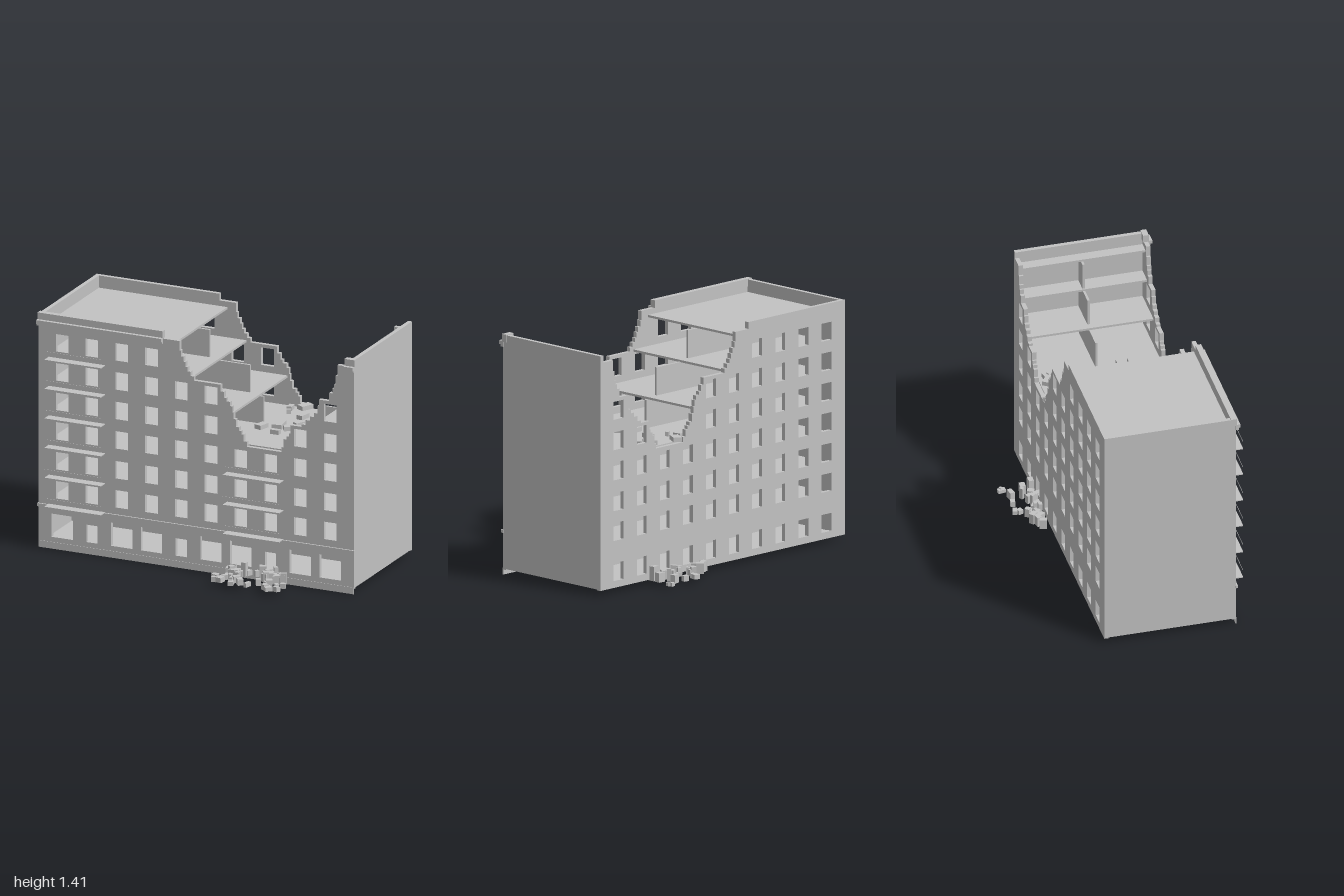
import * as THREE from 'three';

const concrete = new THREE.MeshStandardMaterial({ color: 0xc2c2c2 });
concrete.name = 'concrete grey';

const HALF = 0.995, FRONT = 0.378, BACK = -0.4, WALL = 0.025;
const LEVELS = [0.265, 0.44, 0.62, 0.797, 0.975, 1.15];

// Broken top edge as stair steps: move to x, then step to y
const BREAK = [[-0.105, 1.31], [-0.097, 1.275], [-0.08, 1.245], [-0.068, 1.215], [-0.055, 1.19],
  [-0.035, 1.165], [-0.015, 1.14], [0.155, 1.1], [0.175, 1.065], [0.19, 1.045], [0.215, 1.02], [0.228, 0.985],
  [0.235, 0.945], [0.25, 0.9], [0.27, 0.88], [0.285, 0.86], [0.3, 0.82], [0.32, 0.79], [0.54, 0.82], [0.552, 0.87],
  [0.57, 0.89], [0.585, 0.91], [0.595, 0.96], [0.665, 0.975], [0.69, 1.005], [0.72, 1.03], [0.745, 1.055],
  [0.765, 1.1], [0.775, 1.14], [0.84, 1.19], [0.86, 1.22], [0.87, 1.245], [0.88, 1.3], [0.892, 1.365]];

function topAt(x) {
  let y = 1.365;
  for (const [bx, by] of BREAK) if (x >= bx) y = by;
  return y;
}

function add(parent, name, geometry) {
  const m = new THREE.Mesh(geometry, concrete);
  m.name = name;
  parent.add(m);
  return m;
}

// Box given by its limits on each axis
function block(parent, name, x0, x1, y0, y1, z0, z1) {
  const m = add(parent, name, new THREE.BoxGeometry(x1 - x0, y1 - y0, z1 - z0));
  m.position.set((x0 + x1) / 2, (y0 + y1) / 2, (z0 + z1) / 2);
  return m;
}

// Long wall with window openings and a collapsed top
function facade(isFront) {
  const s = new THREE.Shape();
  s.moveTo(-HALF, 0.03);
  s.lineTo(HALF, 0.03);
  s.lineTo(HALF, 1.365);
  for (let i = BREAK.length - 1; i >= 0; i--) {
    s.lineTo(BREAK[i][0], BREAK[i][1]);
    s.lineTo(BREAK[i][0], i ? BREAK[i - 1][1] : 1.365);
  }
  s.lineTo(-HALF, 1.365);
  s.closePath();
  const opening = (cx, w, y0, y1) => {
    for (let t = -0.5; t <= 0.5; t += 0.125) if (topAt(cx + t * w) < y1 + 0.004) return;
    const p = new THREE.Path();
    p.moveTo(cx - w / 2, y0);
    p.lineTo(cx - w / 2, y1);
    p.lineTo(cx + w / 2, y1);
    p.lineTo(cx + w / 2, y0);
    p.closePath();
    s.holes.push(p);
  };
  for (let c = 0; c < 10; c++) {
    const cx = -0.846 + 0.188 * c;
    if (isFront && c % 3 !== 1) opening(cx, 0.135, 0.07, 0.21);
    else opening(cx, isFront ? 0.07 : 0.08, 0.07, 0.175);
    for (const y of LEVELS) opening(cx, 0.08, y + 0.04, y + 0.145);
  }
  return new THREE.ExtrudeGeometry(s, { depth: WALL, bevelEnabled: false });
}

function seeded(seed) {
  return () => (seed = (seed * 16807) % 2147483647) / 2147483647;
}

export function createModel() {
  const model = new THREE.Group();
  model.name = 'ruinedBuilding';

  // Outer walls
  add(model, 'frontWall', facade(true)).position.z = FRONT - WALL;
  add(model, 'backWall', facade(false)).position.z = BACK;
  for (const s of [-1, 1]) {
    const a = s * HALF, b = s * (HALF - WALL);
    block(model, 'sideWall', Math.min(a, b), Math.max(a, b), 0.035, 1.405, BACK + WALL, FRONT - WALL);
    block(model, 'sideWallEnd', Math.min(a, b), Math.max(a, b), 1.365, 1.405, FRONT - WALL, FRONT);
    block(model, 'sideWallEnd', Math.min(a, b), Math.max(a, b), 1.365, 1.405, BACK, BACK + WALL);
  }
  block(model, 'frontPlinth', -HALF, HALF, 0, 0.04, FRONT - 0.003, FRONT + 0.003);

  // Parapets, cornice and string course
  block(model, 'backParapet', -HALF + WALL, -0.21, 1.365, 1.405, BACK, BACK + WALL);
  for (const [x0, x1] of [[-1, -0.21], [0.938, 1]]) {
    block(model, 'frontParapet', x0, x1, 1.365, 1.41, FRONT - 0.03, FRONT + 0.004);
    block(model, 'corniceUpper', x0, x1, 1.348, 1.37, FRONT - 0.005, 0.403);
    block(model, 'corniceLower', x0, x1, 1.335, 1.348, FRONT - 0.005, 0.393);
  }
  block(model, 'stringCourse', -1, 1, 0.245, 0.264, FRONT - 0.005, 0.388);

  // Floor slabs, the upper ones broken through in the middle
  const slab = (name, y, x0, x1) => block(model, name, x0, x1, y - 0.013, y, BACK + WALL, FRONT - WALL);
  const inner = HALF - WALL;
  slab('groundSlab', 0.04, -inner, inner);
  LEVELS.slice(0, 4).forEach((y) => slab('floorSlab', y, -inner, inner));
  for (const [y, l, r] of [[0.975, 0.22, 0.73], [1.15, -0.04, 0.87], [1.332, -0.16, 0.905]]) {
    const name = y > 1.2 ? 'roofSlab' : 'floorSlab';
    slab(name, y, -inner, l);
    slab(name, y, r, inner);
  }

  // Inner spine wall on each storey: end of left run, start of right run
  const spine = (y0, y1, x0, x1) => block(model, 'spineWall', x0, x1, y0, y1, -0.026, -0.012);
  spine(0.04, 0.252, -inner, inner);
  for (let i = 0; i < 3; i++) spine(LEVELS[i], LEVELS[i + 1] - 0.013, -inner, inner);
  for (const [y, l, r] of [[0.797, 0.24, 0.595], [0.975, 0.155, 0.77], [1.15, -0.1, 0.88]]) {
    spine(y, y + 0.164, -inner, l);
    spine(y, y + 0.164, r, inner);
  }

  // Balconies: thin slab with a slender rail
  for (const [x0, x1, count] of [[-0.93, -0.575, 6], [0.195, 0.55, 3]]) {
    for (let i = 0; i < count; i++) {
      const y = LEVELS[i];
      block(model, 'balconySlab', x0, x1, y - 0.003, y + 0.002, FRONT, 0.438);
      block(model, 'balconyRail', x0, x1, y + 0.05, y + 0.052, 0.435, 0.437);
    }
  }

  // Rubble heaps outside, tallest against the wall
  const rnd = seeded(4711);
  for (const [side, wall, count, cx] of [[1, FRONT, 50, 0.42], [-1, BACK, 26, 0.4]]) {
    const heap = new THREE.Group();
    heap.name = side > 0 ? 'frontRubble' : 'backRubble';
    for (let i = 0; i < count; i++) {
      const d = 0.01 + 0.215 * Math.pow(rnd(), 1.5);
      const w = 0.018 + 0.028 * rnd(), h = 0.02 + (0.065 * (1 - d / 0.23)) * rnd() + 0.012 * rnd();
      const m = add(heap, 'rubbleBlock', new THREE.BoxGeometry(w, h, 0.018 + 0.025 * rnd()));
      m.position.set(cx + (rnd() - 0.5) * 0.44, 0.025 + h / 2, wall + side * d);
      m.rotation.y = rnd() * Math.PI;
    }
    model.add(heap);
  }

  // Fallen slabs on the open floor: x, z, width, depth, turn
  const debris = [[0.34, -0.36, 0.05, 0.08, -0.5], [0.51, -0.32, 0.08, 0.06, -0.6], [0.4, -0.2, 0.04, 0.07, -0.2],
    [0.34, -0.01, 0.06, 0.1, 0.15], [0.26, 0.055, 0.045, 0.07, -0.3], [0.44, -0.065, 0.035, 0.06, -0.5],
    [0.415, 0.025, 0.055, 0.04, 0.6], [0.375, 0.115, 0.055, 0.03, 0], [0.27, -0.31, 0.03, 0.05, 0.1],
    [0.29, -0.245, 0.025, 0.02, 0.5], [0.57, -0.3, 0.03, 0.03, 0.4], [0.56, -0.335, 0.04, 0.02, 0.2]];
  for (const [x, z, w, d, turn] of debris) {
    const m = add(model, 'fallenSlab', new THREE.BoxGeometry(w, 0.026, d));
    m.position.set(x, 0.81, z);
    m.rotation.y = turn;
  }
  return model;
}
